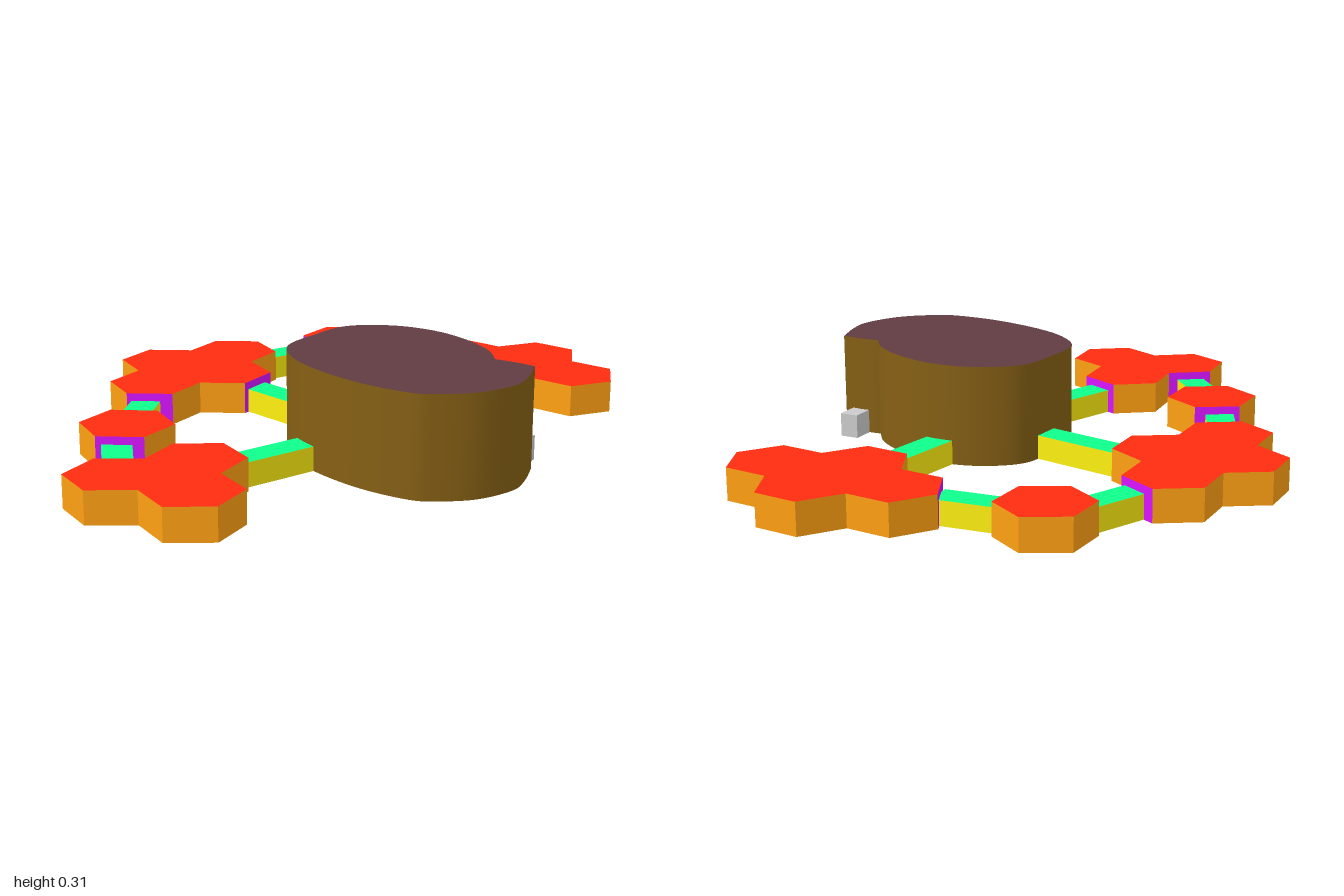
import * as THREE from 'three';
import { toCreasedNormals } from 'three/addons/utils/BufferGeometryUtils.js';

const R = 0.144;                 // hexagon radius
const S = R * Math.sqrt(3);      // spacing of neighbouring hexagons
const PAD_H = 0.1, BRIDGE_H = 0.075, BODY_H = 0.31;

const mat = (color) => new THREE.MeshStandardMaterial({ color });
const padMats = { top: mat(0xff2c10), side: mat(0xffa012), bottom: mat(0x1030f0), port: mat(0xd814ff) };
const bridgeMats = { top: mat(0x10ff8c), side: mat(0xfff010), bottom: mat(0x0aa098) };
const bodyMats = { top: mat(0x603c42), side: mat(0x855f14), bottom: mat(0x0a8878) };

// Bridge centre lines as [x, z] pairs
const bridges = [
  [[-0.275, -0.443], [-0.422, -0.358]],
  [[-0.626, -0.219], [-0.76, -0.08]],
  [[-0.507, 0.133], [-0.24, 0.204]],
  [[0.064, -0.278], [0.031, 0.01]],
  [[0.374, -0.487], [0.535, -0.433]],
  [[0.652, -0.241], [0.684, -0.064]],
  [[0.497, 0.262], [0.25, 0.25]],
];

function mesh(name, geometry, material) {
  const m = new THREE.Mesh(geometry, material);
  m.name = name;
  return m;
}

// Flat cap over a plan outline, facing up or down
function cap(points, y, up) {
  const k = up ? -1 : 1;
  const shape = new THREE.Shape(points.map((p) => new THREE.Vector2(p.x, k * p.y)));
  return new THREE.ShapeGeometry(shape).rotateX(k * Math.PI / 2).translate(0, y, 0);
}

// Upright walls along a list of plan edges
function walls(edges, h) {
  const pos = [];
  for (const [p, q] of edges) {
    pos.push(p.x, 0, p.y, p.x, h, p.y, q.x, 0, q.y);
    pos.push(q.x, 0, q.y, p.x, h, p.y, q.x, h, q.y);
  }
  const g = new THREE.BufferGeometry();
  g.setAttribute('position', new THREE.Float32BufferAttribute(pos, 3));
  return toCreasedNormals(g, 0.5);
}

// Prism over one or more plan cells; edges shared by two cells get no wall
function prism(name, cells, h, mats, isPort = () => false) {
  const group = new THREE.Group();
  group.name = name;
  const edges = [];
  for (const cell of cells) {
    if (THREE.ShapeUtils.isClockWise(cell)) cell.reverse();
    group.add(mesh(name + 'Top', cap(cell, h, true), mats.top));
    group.add(mesh(name + 'Bottom', cap(cell, 0, false), mats.bottom));
    cell.forEach((p, i) => {
      const q = cell[(i + 1) % cell.length];
      edges.push({ p, q, mid: p.clone().add(q).multiplyScalar(0.5) });
    });
  }
  const outer = edges.filter((e) => !edges.some((f) => f !== e && f.mid.distanceTo(e.mid) < 0.002));
  const ports = outer.filter((e) => isPort(e.mid));
  const plain = outer.filter((e) => !isPort(e.mid));
  group.add(mesh(name + 'Sides', walls(plain.map((e) => [e.p, e.q]), h), mats.side));
  if (ports.length) group.add(mesh(name + 'Ports', walls(ports.map((e) => [e.p, e.q]), h), mats.port));
  return group;
}

// Hexagonal pad: local cell centres turned by deg and moved to (x, z)
function pad(name, x, z, deg, centres) {
  const a = THREE.MathUtils.degToRad(deg);
  const origin = new THREE.Vector2();
  const cells = centres.map(([cx, cz]) => Array.from({ length: 6 }, (_, i) => {
    const t = i * Math.PI / 3;
    return new THREE.Vector2(cx + R * Math.cos(t), cz + R * Math.sin(t))
      .rotateAround(origin, a).add(new THREE.Vector2(x, z));
  }));
  const touches = (mid) => bridges.flat().some(([bx, bz]) => Math.hypot(mid.x - bx, mid.y - bz) < 0.045);
  return prism(name, cells, PAD_H, padMats, touches);
}

// Straight walkway, its ends sunk slightly into its neighbours
function bridge([from, to]) {
  const a = new THREE.Vector2(...from), b = new THREE.Vector2(...to);
  const d = b.clone().sub(a).normalize();
  const n = new THREE.Vector2(-d.y, d.x).multiplyScalar(0.045);
  a.addScaledVector(d, -0.015);
  b.addScaledVector(d, 0.015);
  const outline = [a.clone().add(n), b.clone().add(n), b.clone().sub(n), a.clone().sub(n)];
  return prism('bridge', [outline], BRIDGE_H, bridgeMats);
}

// Main building: a smooth curve closed by a notch at the front
function body() {
  const curve = new THREE.SplineCurve([
    [0.118, 0.588], [0.187, 0.519], [0.244, 0.4], [0.266, 0.267], [0.235, 0.134], [0.139, 0.027],
    [-0.005, 0.013], [-0.144, 0.027], [-0.235, 0.118], [-0.289, 0.251], [-0.316, 0.428], [-0.303, 0.583],
    [-0.267, 0.652], [-0.182, 0.733], [-0.06, 0.773], [0.03, 0.757], [0.128, 0.717],
  ].map(([x, z]) => new THREE.Vector2(x, z)));
  const outline = curve.getPoints(80);
  outline.push(new THREE.Vector2(0.128, 0.655));
  return prism('building', [outline], BODY_H, bodyMats);
}

export function createModel() {
  const model = new THREE.Group();
  model.name = 'hexagonPavilions';

  const diamond = [[0, -S / 2], [0, S / 2], [-1.5 * R, 0], [1.5 * R, 0]];
  const triangle = [[0, -S / 2], [0, S / 2], [1.5 * R, 0]];
  const single = [[0, 0]];
  model.add(
    pad('backPad', 0.045, -0.527, -6, diamond),
    pad('leftPad', 0.749, 0.267, 90, diamond),
    pad('rightPad', -0.834, 0.128, -10, triangle),
    pad('smallRightPad', -0.524, -0.278, -5, single),
    pad('smallLeftPad', 0.642, -0.369, -3, single),
    body(),
  );
  for (const b of bridges) model.add(bridge(b));

  // Small entrance block beside the notch
  const block = mesh('entranceBlock', new THREE.BoxGeometry(0.075, 0.075, 0.06), mat(0xcccccc));
  block.position.set(0.162, 0.0375, 0.655);
  block.rotation.y = 0.1;
  model.add(block);
  return model;
}
